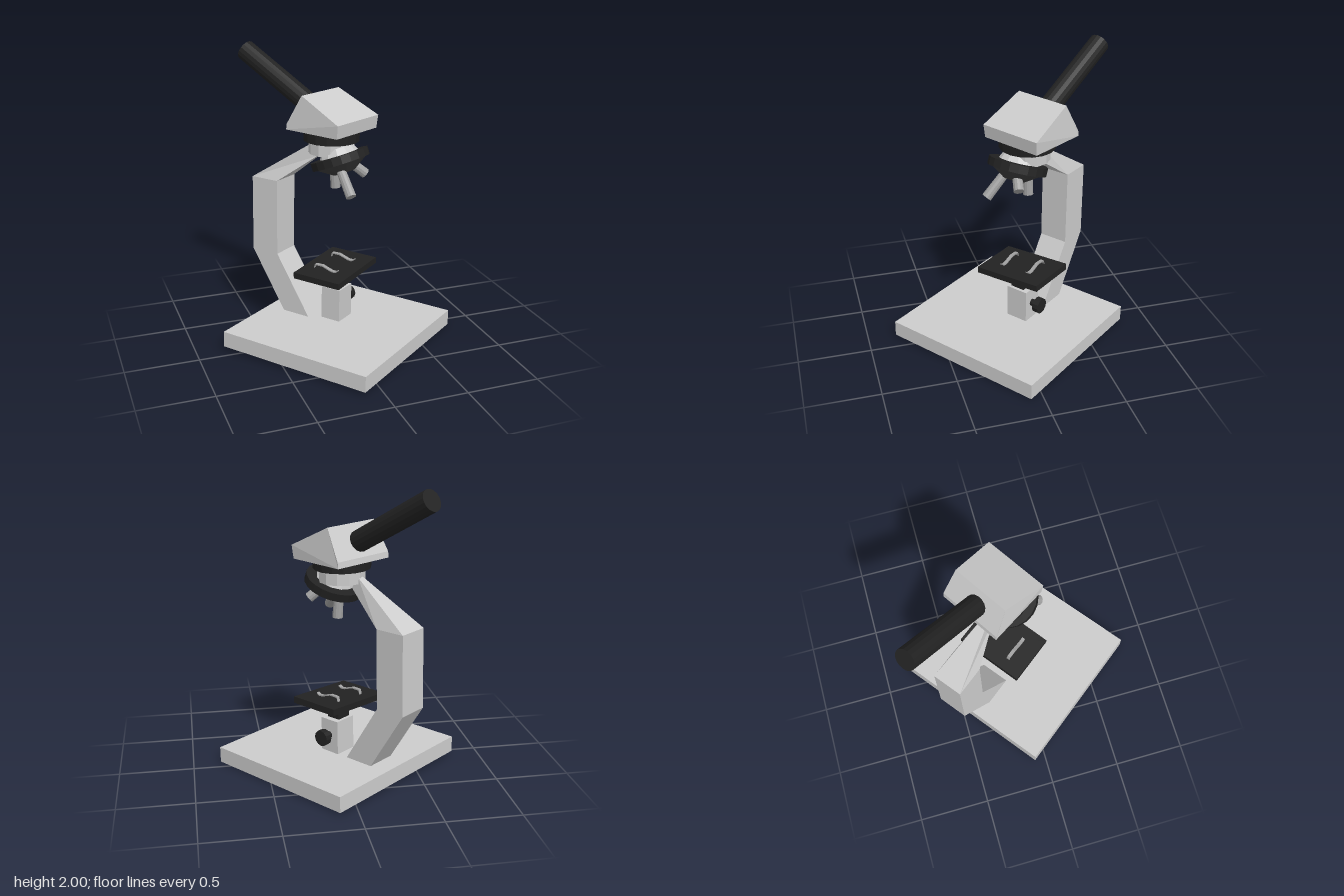
import * as THREE from 'three';

const mat = (name, color) => Object.assign(new THREE.MeshStandardMaterial({ color }), { name });

export function createModel() {
  const lightGrey = mat('lightGrey', 0xcccccc);
  const black = mat('black', 0x222222);
  const charcoal = mat('charcoal', 0x3c3c3c);
  const steel = mat('steel', 0xa0a0a0);

  const root = new THREE.Group();
  root.name = 'microscope';
  // turned on its base, with a very slight lean
  root.rotation.set(0, 0.662, -0.018, 'ZYX');

  const add = (name, geometry, material, x = 0, y = 0, z = 0, parent = root) => {
    const flat = geometry.index ? geometry.toNonIndexed() : geometry;
    flat.computeVertexNormals();
    const mesh = new THREE.Mesh(flat, material);
    mesh.name = name;
    mesh.position.set(x, y, z);
    parent.add(mesh);
    return mesh;
  };

  // cylinder between two points
  const rod = (name, from, to, r0, r1, sides, material) => {
    const a = new THREE.Vector3(...from), b = new THREE.Vector3(...to);
    const dir = b.clone().sub(a);
    const mesh = add(name, new THREE.CylinderGeometry(r1, r0, dir.length(), sides), material);
    mesh.position.copy(a).add(b).multiplyScalar(0.5);
    mesh.quaternion.setFromUnitVectors(new THREE.Vector3(0, 1, 0), dir.normalize());
    return mesh;
  };

  // solid from rings of corners, each ring anticlockwise seen from the last ring's end
  const loft = (rings) => {
    const n = rings[0].length, pos = rings.flat(2), idx = [];
    for (let i = 0; i < rings.length - 1; i++) {
      for (let j = 0; j < n; j++) {
        const a = i * n + j, b = i * n + (j + 1) % n;
        idx.push(a, b, b + n, a, b + n, a + n);
      }
    }
    const last = (rings.length - 1) * n;
    for (let j = 1; j < n - 1; j++) idx.push(0, j + 1, j, last, last + j, last + j + 1);
    const g = new THREE.BufferGeometry();
    g.setAttribute('position', new THREE.Float32BufferAttribute(pos, 3));
    g.setIndex(idx);
    return g;
  };

  // base plate
  add('base', new THREE.BoxGeometry(1.18, 0.11, 1.126), lightGrey, 0, 0.07, 0);

  // bent arm: half width, back z and y, front z and y
  const armSections = [
    [0.105, -0.425, 0.12, -0.215, 0.12],
    [0.105, -0.695, 0.545, -0.485, 0.545],
    [0.105, -0.695, 1.085, -0.485, 1.085],
    [0.02, -0.26, 1.37, -0.21, 1.29],
  ];
  add('arm', loft(armSections.map(([w, bz, by, fz, fy]) =>
    [[-w, fy, fz], [w, fy, fz], [w, by, bz], [-w, by, bz]])), lightGrey, 0.035, 0, 0);

  // stage support
  add('stagePost', new THREE.BoxGeometry(0.16, 0.24, 0.146), lightGrey, 0.065, 0.24, -0.068);
  add('stageStem', new THREE.BoxGeometry(0.105, 0.13, 0.1), black, 0.053, 0.42, -0.068);
  rod('focusShaft', [0.13, 0.25, -0.066], [0.2, 0.25, -0.066], 0.025, 0.025, 12, black);
  rod('focusKnob', [0.185, 0.25, -0.066], [0.23, 0.25, -0.066], 0.055, 0.055, 12, black);

  // stage with two spring clips
  const stage = new THREE.Group();
  stage.name = 'stage';
  stage.position.set(0.052, 0.494, -0.073);
  stage.rotation.z = 0.063;
  root.add(stage);
  add('stagePlate', new THREE.BoxGeometry(0.5, 0.044, 0.364), black, 0, 0, 0, stage);
  const clipPath = [[-0.1, 0.0], [-0.09, 0.028], [-0.03, 0.03], [0.04, 0.006], [0.07, 0.004], [0.09, 0.016]];
  for (const side of [-1, 1]) {
    const outline = [...clipPath, ...clipPath.map(([z, y]) => [z, y + 0.008]).reverse()];
    const shape = new THREE.Shape(outline.map(([z, y]) => new THREE.Vector2(-z, y)));
    const clip = add('stageClip', new THREE.ExtrudeGeometry(shape, { depth: 0.025, bevelEnabled: false }),
      steel, side * 0.11 - 0.0125, 0.02, 0, stage);
    clip.rotation.y = Math.PI / 2;
  }

  // collars under the head
  add('headCollar', new THREE.CylinderGeometry(0.193, 0.19, 0.07, 16), black, 0.049, 1.447, -0.12);
  add('lensMount', new THREE.CylinderGeometry(0.155, 0.155, 0.1, 12), lightGrey, 0.049, 1.375, -0.12);

  // wedge-shaped head: profile of z, y and half width
  const headProfile = [
    [-0.215, 0, 0.22], [-0.21, 0.04, 0.22], [-0.1, 0.24, 0.2], [0.22, 0.09, 0.225], [0.21, 0, 0.22],
  ];
  const headRing = (s) => headProfile.map(([z, y, w]) => [s * w, y, z]);
  const head = add('head', loft([headRing(-1), headRing(1)]), lightGrey, 0.073, 1.48, -0.133);
  head.rotation.y = -0.09;

  // eyepiece tube
  rod('eyepiece', [0.069, 1.55, -0.18], [0.108, 1.932, -0.879], 0.072, 0.072, 16, black);

  // tilted revolving nosepiece
  const nose = new THREE.Group();
  nose.name = 'nosepiece';
  nose.position.set(0.032, 1.295, -0.038);
  nose.rotation.x = -0.385;
  root.add(nose);
  add('noseDisc', new THREE.CylinderGeometry(0.2, 0.2, 0.055, 20), black, 0, 0, 0, nose);
  add('noseCone', new THREE.CylinderGeometry(0.18, 0.075, 0.07, 16), charcoal, 0, -0.06, 0, nose);
  add('noseHub', new THREE.CylinderGeometry(0.11, 0.14, 0.06, 12), lightGrey, 0, 0.045, 0, nose);

  // objective lenses
  const lenses = [
    [[-0.035, 1.24, 0.01], [-0.097, 1.09, 0.133]],
    [[0.066, 1.25, -0.106], [0.077, 1.075, -0.0985]],
    [[0.065, 1.275, 0.02], [0.14, 1.19, 0.097]],
  ];
  for (const [from, to] of lenses) rod('objectiveLens', from, to, 0.032, 0.035, 12, steel);

  return root;
}
